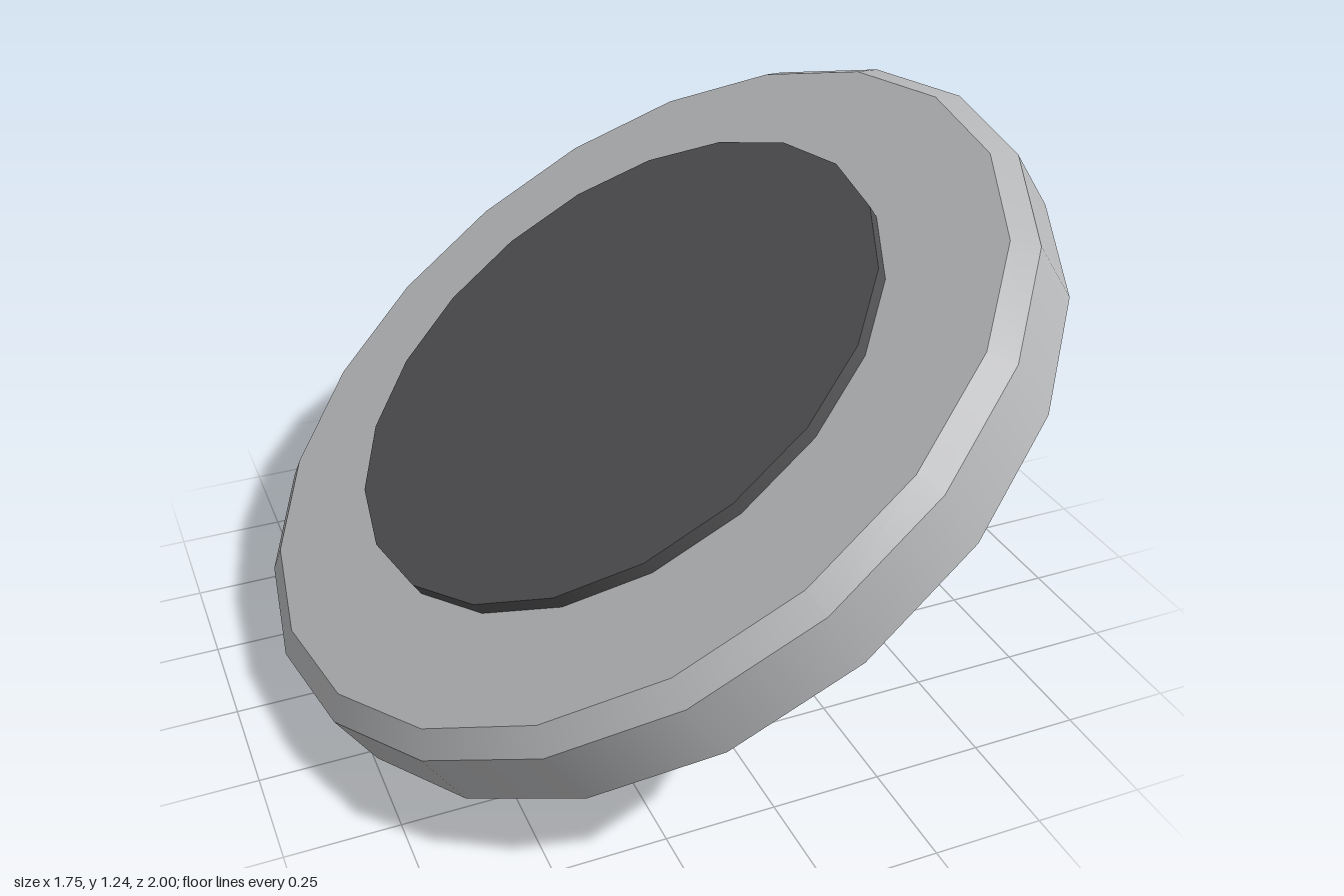
import * as THREE from 'three';

const SIDES = 20;
const TILT = THREE.MathUtils.degToRad(33.65);

export function createModel() {
  const lightGrey = new THREE.MeshStandardMaterial({ color: 0xb8b9bb });
  lightGrey.name = 'lightGrey';
  const darkGrey = new THREE.MeshStandardMaterial({ color: 0x515153 });
  darkGrey.name = 'darkGrey';

  const disc = new THREE.Group();
  disc.name = 'tiltedDisc';

  // Adds a round section standing on height y of the untilted disc
  const addSection = (name, geometry, material, y, height) => {
    const mesh = new THREE.Mesh(geometry, material);
    mesh.name = name;
    mesh.position.y = y + height / 2;
    disc.add(mesh);
  };

  // Outer wall, open at both ends
  addSection('rim', new THREE.CylinderGeometry(1, 1, 0.155, SIDES, 1, true), lightGrey, 0, 0.155);

  // Chamfer between wall and top face
  addSection('bevel', new THREE.CylinderGeometry(0.95, 1, 0.04, SIDES, 1, true), lightGrey, 0.155, 0.04);

  // Flat top and underside; the turned circles line up with the wall corners
  addSection('topFace', new THREE.CircleGeometry(0.95, SIDES).rotateX(-Math.PI / 2), lightGrey, 0.195, 0);
  addSection('underside', new THREE.CircleGeometry(1, SIDES).rotateX(Math.PI / 2), lightGrey, 0, 0);

  // Raised dark pad in the middle
  addSection('centrePad', new THREE.CylinderGeometry(0.675, 0.675, 0.033, SIDES), darkGrey, 0.195, 0.033);

  // Tilt so the left side is high and the lowest edge rests on the ground
  disc.rotation.z = TILT;
  disc.position.set(0.043, Math.sin(TILT), 0);

  const model = new THREE.Group();
  model.name = 'model';
  model.add(disc);
  return model;
}
